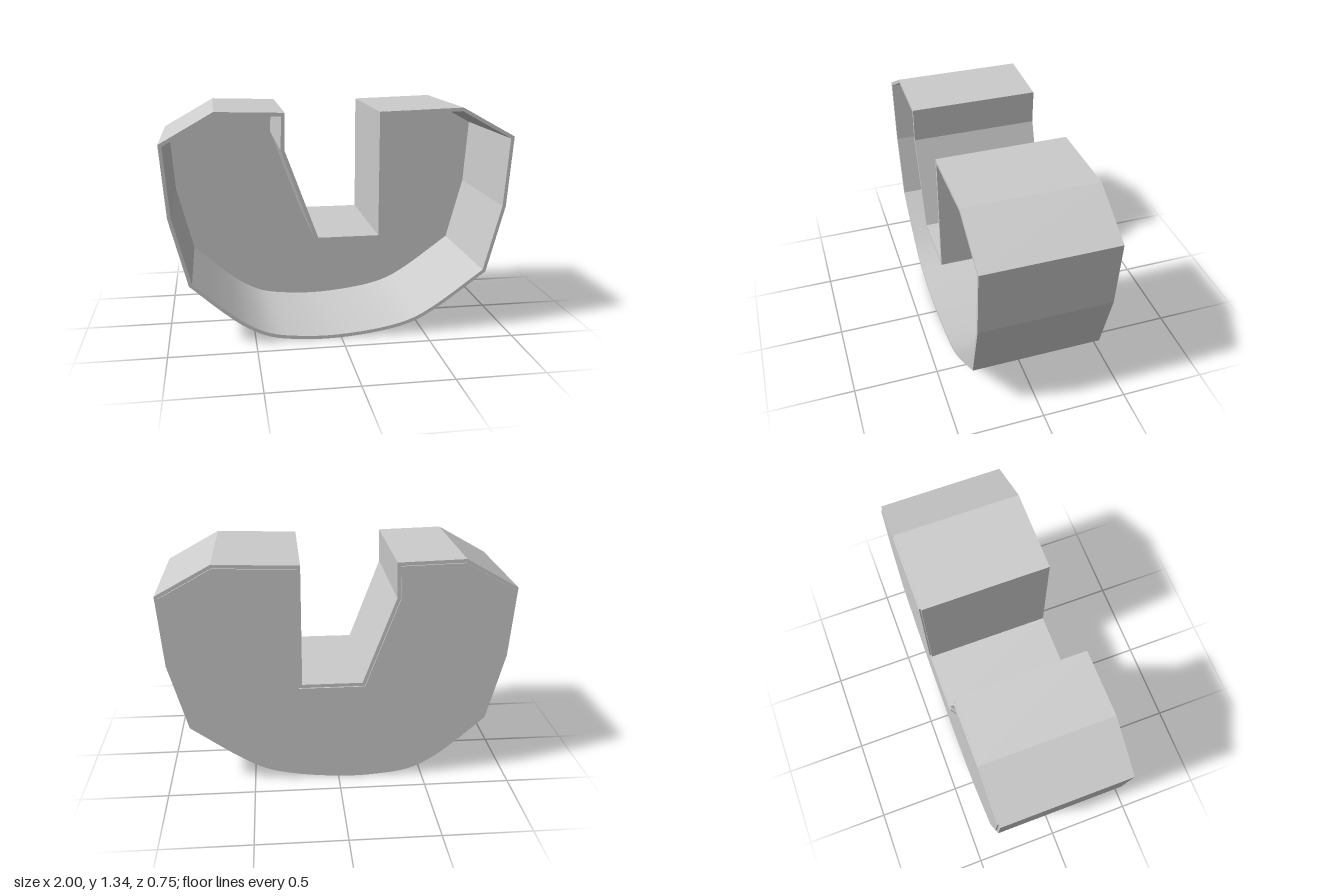
import * as THREE from 'three';
import { toCreasedNormals } from 'three/addons/utils/BufferGeometryUtils.js';

const WALL = 0.02;
const FRONT = 0.377, RIM_BACK = -0.368, PLATE_FRONT = -0.365, PLATE_BACK = -0.377;

const toPoints = (list) => list.map(([x, y]) => new THREE.Vector2(x, y));

// Clockwise outline: straight sides and notch, then the rounded belly
function outline() {
  const straight = toPoints([
    [-0.97, 0.76], [-1, 1.17], [-0.7, 1.34], [-0.317, 1.329], [-0.322, 1.125],
    [-0.136, 0.618], [0.211, 0.618], [0.211, 1.325], [0.69, 1.34], [1, 1.17], [0.97, 0.76],
  ]);
  const belly = new THREE.CatmullRomCurve3(
    [[0.865, 0.365], [0.57, 0.153], [0.437, 0.08], [0.28, 0.036], [0, 0.003], [-0.2, 0.004],
      [-0.42, 0.035], [-0.555, 0.1], [-0.68, 0.195], [-0.87, 0.365]]
      .map(([x, y]) => new THREE.Vector3(x, y, 0)),
  );
  return [...straight, ...belly.getSpacedPoints(48).map((p) => new THREE.Vector2(p.x, Math.max(0, p.y)))];
}

// Mitred inward offset of a clockwise outline
function inset(points, distance) {
  const n = points.length;
  const normal = (a, b) => new THREE.Vector2(b.y - a.y, a.x - b.x).normalize();
  return points.map((p, i) => {
    const n1 = normal(points[(i + n - 1) % n], p);
    const n2 = normal(p, points[(i + 1) % n]);
    const miter = n1.clone().add(n2);
    return p.clone().addScaledVector(miter, distance / (1 + n1.dot(n2)));
  });
}

function extrude(shape, back, front) {
  const geometry = new THREE.ExtrudeGeometry(shape, { depth: front - back, bevelEnabled: false });
  geometry.translate(0, 0, back);
  return toCreasedNormals(geometry, THREE.MathUtils.degToRad(8));
}

export function createModel() {
  const group = new THREE.Group();
  group.name = 'notchedTray';
  const material = new THREE.MeshStandardMaterial({ color: 0xcccccc });
  const outer = outline();
  const inner = inset(outer, WALL);

  // Thin wall around the whole outline, open at the front; the hole winds
  // opposite to the outline so the inside faces point into the tray
  const rimShape = new THREE.Shape([...outer].reverse());
  rimShape.holes.push(new THREE.Path(inner));
  const rim = new THREE.Mesh(extrude(rimShape, RIM_BACK, FRONT), material);
  rim.name = 'outerWall';

  // Back plate inside the wall, standing slightly proud behind it
  const plateShape = new THREE.Shape([...inner].reverse());
  const plate = new THREE.Mesh(extrude(plateShape, PLATE_BACK, PLATE_FRONT), material);
  plate.name = 'backPlate';

  group.add(rim, plate);
  return group;
}
